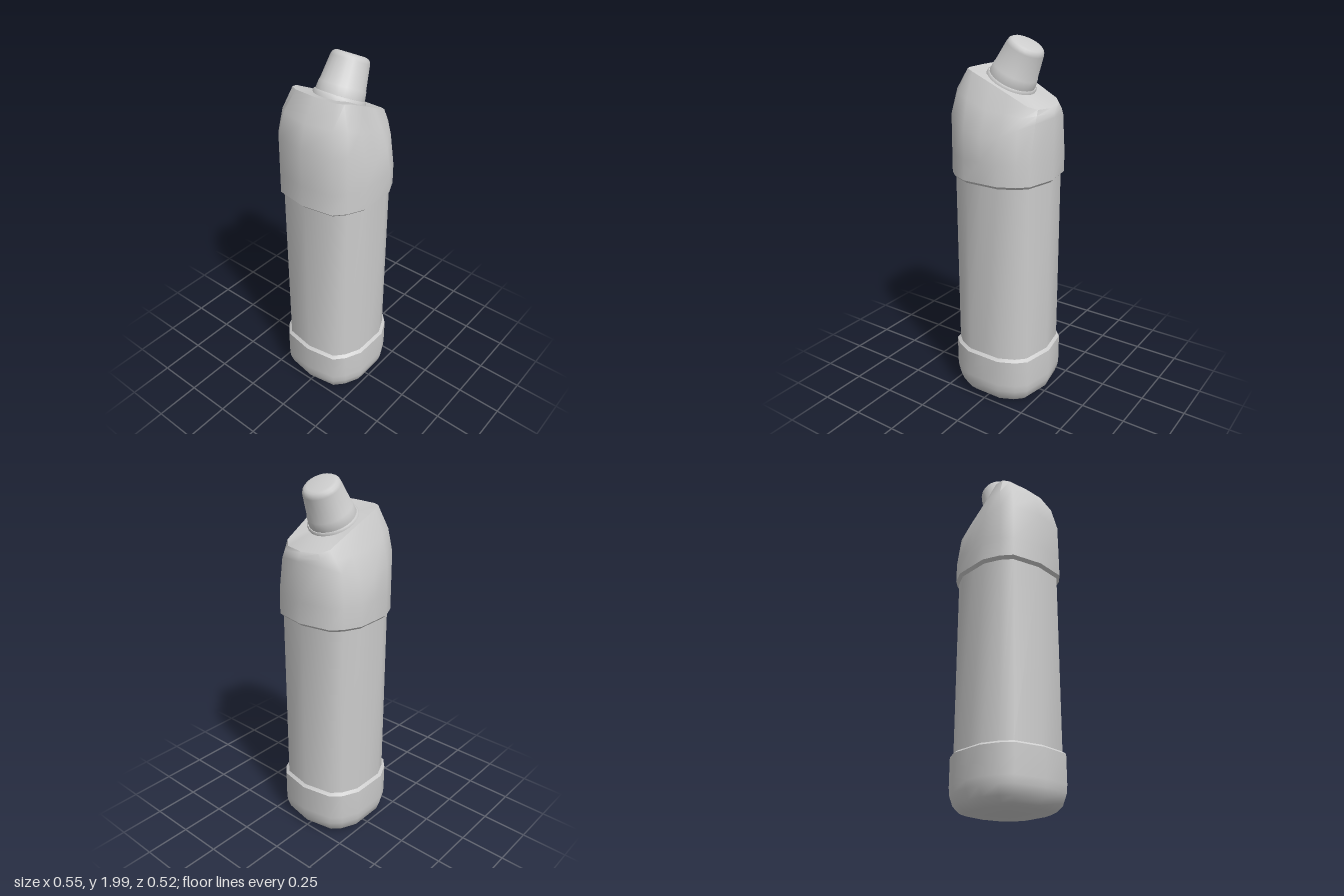
import * as THREE from 'three';
import { toCreasedNormals } from 'three/addons/utils/BufferGeometryUtils.js';

const material = new THREE.MeshStandardMaterial({ color: 0xcccccc });

// Half outline of the bottle, from +x round the front to -x
const outline = [[0.273, 0], [0.24, 0.17], [0.19, 0.22], [0.1, 0.262], [0, 0.262],
  [-0.1, 0.262], [-0.19, 0.22], [-0.245, 0.17], [-0.273, 0]];

const level = (y, s) => outline.map(([x, z]) => [x * s, y, z * s]);

// Complete a half ring by mirroring it in z
const mirror = (half) => [...half, ...half.slice(1, -1).reverse().map(([x, y, z]) => [x, y, -z])];

// Skin a stack of half rings, with optional end caps
function loft(name, halves, { bottom, top } = {}) {
  const rings = halves.map(mirror);
  const n = rings[0].length;
  const points = rings.flat();
  const index = [];
  for (let k = 0; k < rings.length - 1; k++) {
    for (let i = 0; i < n; i++) {
      const a = k * n + i, b = k * n + (i + 1) % n;
      index.push(a, a + n, b, b, a + n, b + n);
    }
  }
  const cap = (centre, start, up) => {
    const c = points.push(centre) - 1;
    for (let i = 0; i < n; i++) {
      const a = start + i, b = start + (i + 1) % n;
      index.push(c, up ? b : a, up ? a : b);
    }
  };
  if (bottom) cap(bottom, 0, false);
  if (top) cap(top, (rings.length - 1) * n, true);
  const geometry = new THREE.BufferGeometry();
  geometry.setAttribute('position', new THREE.Float32BufferAttribute(points.flat(), 3));
  geometry.setIndex(index);
  const mesh = new THREE.Mesh(toCreasedNormals(geometry, 0.75), material);
  mesh.name = name;
  return mesh;
}

function lathe(name, profile) {
  const geometry = new THREE.LatheGeometry(profile.map(([r, y]) => new THREE.Vector2(r, y)), 24);
  const mesh = new THREE.Mesh(toCreasedNormals(geometry, 0.75), material);
  mesh.name = name;
  return mesh;
}

export function createModel() {
  const group = new THREE.Group();
  group.name = 'bottle';
  const waist = 0.94;

  // Rounded foot, with a small step in to the body
  group.add(loft('foot', [
    level(0, 0.72), level(0.012, 0.83), level(0.04, 0.93), level(0.09, 0.99), level(0.13, 1),
    level(0.28, 1), level(0.293, waist),
  ], { bottom: [0, 0, 0] }));

  // Straight body
  group.add(loft('body', [level(0.293, waist), level(1.272, waist)]));

  // Head: bulged at the back, pinched towards the pouring side, cut by a slanted top
  const slant = (x) => Math.min(1.836, 1.655 + (0.25 - x) * 0.485);
  const shoulder = [[0.273, 1.61, 0], [0.245, 1.6, 0.135], [0.18, 1.57, 0.2], [0.1, 1.53, 0.24],
    [0, 1.52, 0.253], [-0.1, 1.56, 0.256], [-0.19, 1.6, 0.218], [-0.243, 1.6, 0.168], [-0.27, 1.6, 0]];
  const bulge = [[0.27, 1.632, 0], [0.243, 1.635, 0.12], [0.19, 1.625, 0.17], [0.1, 1.64, 0.195],
    [0, 1.65, 0.208], [-0.1, 1.7, 0.222], [-0.17, 1.72, 0.203], [-0.215, 1.73, 0.15], [-0.24, 1.73, 0]];
  const rim = [[0.25, 0], [0.237, 0.1], [0.2, 0.14], [0.1, 0.15], [0, 0.16],
    [-0.1, 0.172], [-0.14, 0.158], [-0.158, 0.12], [-0.165, 0]].map(([x, z]) => [x, slant(x), z]);
  group.add(loft('head', [
    level(1.272, waist), level(1.288, 1), level(1.4, 0.997), shoulder, bulge, rim,
  ], { top: [0.02, slant(0.02), 0] }));

  // Tilted neck ring and tapered cap
  const spout = new THREE.Group();
  spout.name = 'spout';
  spout.position.set(0.017, slant(0.017), 0);
  spout.rotation.z = -0.455;
  spout.add(lathe('neckRing', [[0.134, -0.02], [0.134, 0.006], [0.128, 0.014], [0.11, 0.014]]));
  spout.add(lathe('cap', [[0.125, 0], [0.124, 0.02], [0.119, 0.06], [0.116, 0.064], [0.099, 0.185],
    [0.094, 0.2], [0.083, 0.21], [0.068, 0.214], [0, 0.214]]));
  group.add(spout);

  return group;
}
